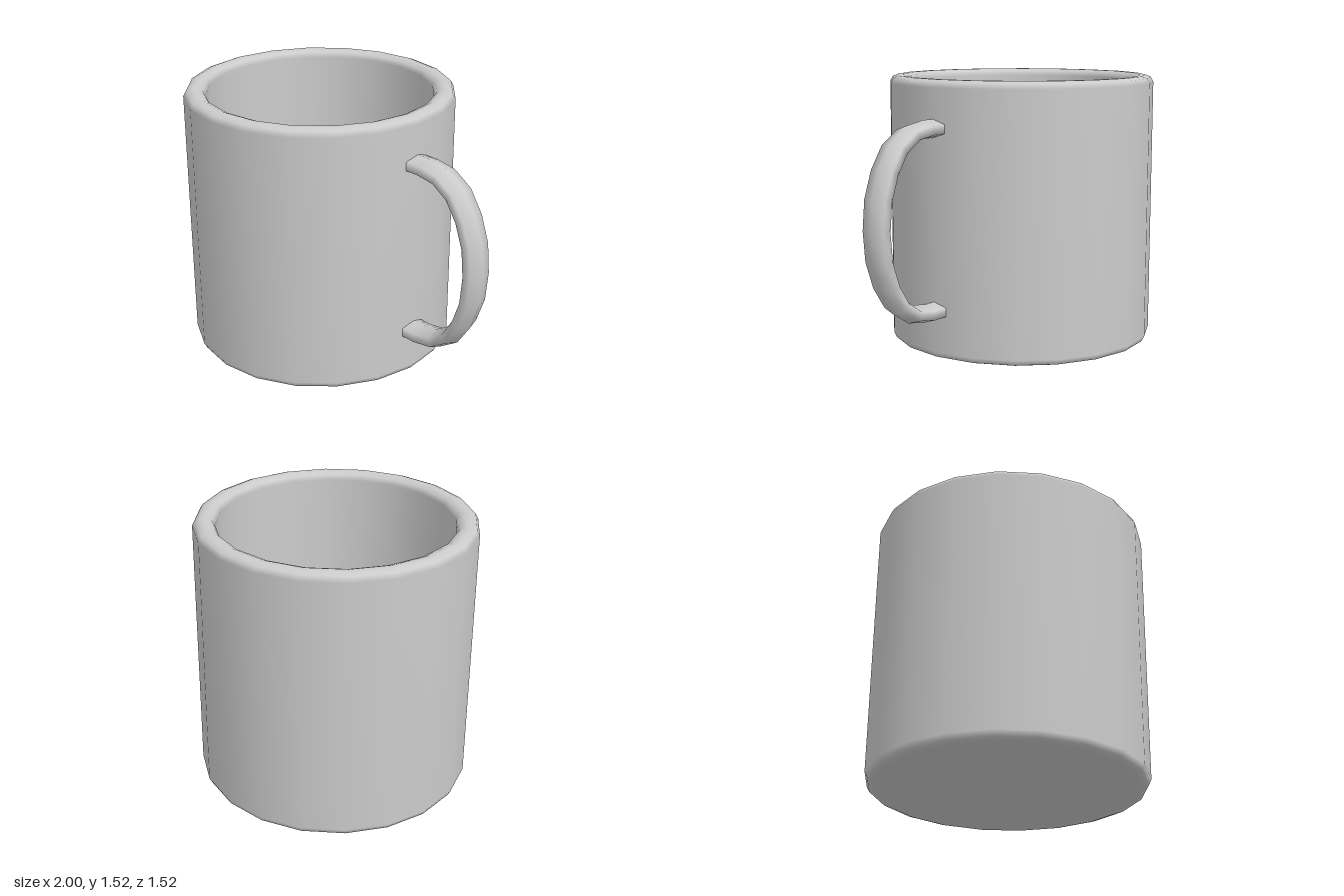
import * as THREE from 'three';

const material = new THREE.MeshStandardMaterial({ color: 0xcccccc });
const CUP_X = -0.24;

// Cup: one closed profile, from the underside up the outer wall, over the rim and down inside
function createCup() {
  const profile = [
    [0, 0], [0.715, 0], [0.745, 0.01], [0.76, 0.04],
    [0.76, 1.485], [0.745, 1.513], [0.715, 1.525],
    [0.685, 1.525], [0.655, 1.513], [0.64, 1.485],
    [0.64, 0.16], [0.628, 0.13], [0.6, 0.12], [0, 0.12],
  ].map(([r, y]) => new THREE.Vector2(r, y));
  const cup = new THREE.Mesh(new THREE.LatheGeometry(profile, 20), material);
  cup.name = 'cup';
  cup.position.x = CUP_X;
  return cup;
}

// Handle: a flattened hexagonal section swept along a mirrored C-shaped path
function createHandle() {
  const midY = 0.77, sides = 6, thick = 0.05, wide = 0.0866;
  const upper = [[0.49, 0.498], [0.59, 0.498], [0.705, 0.48], [0.81, 0.413], [0.885, 0.3], [0.935, 0.16]];
  const path = [
    ...upper,
    [0.95, 0],
    ...upper.map(([x, y]) => [x, -y]).reverse(),
  ].map(([x, y]) => new THREE.Vector2(x, y + midY));

  const positions = [], index = [];
  path.forEach((p, i) => {
    const before = path[Math.max(i - 1, 0)];
    const after = path[Math.min(i + 1, path.length - 1)];
    const t = after.clone().sub(before).normalize();
    for (let j = 0; j < sides; j++) {
      const a = (j / sides) * Math.PI * 2;
      const out = Math.cos(a) * thick;
      positions.push(p.x - t.y * out, p.y + t.x * out, Math.sin(a) * wide);
      if (i === path.length - 1) continue;
      const k = (j + 1) % sides;
      const q = i * sides;
      index.push(q + j, q + k, q + sides + j, q + k, q + sides + k, q + sides + j);
    }
  });

  const geometry = new THREE.BufferGeometry();
  geometry.setAttribute('position', new THREE.Float32BufferAttribute(positions, 3));
  geometry.setIndex(index);
  geometry.computeVertexNormals();
  const handle = new THREE.Mesh(geometry, material);
  handle.name = 'handle';
  return handle;
}

export function createModel() {
  const mug = new THREE.Group();
  mug.name = 'mug';
  mug.add(createCup(), createHandle());
  return mug;
}
